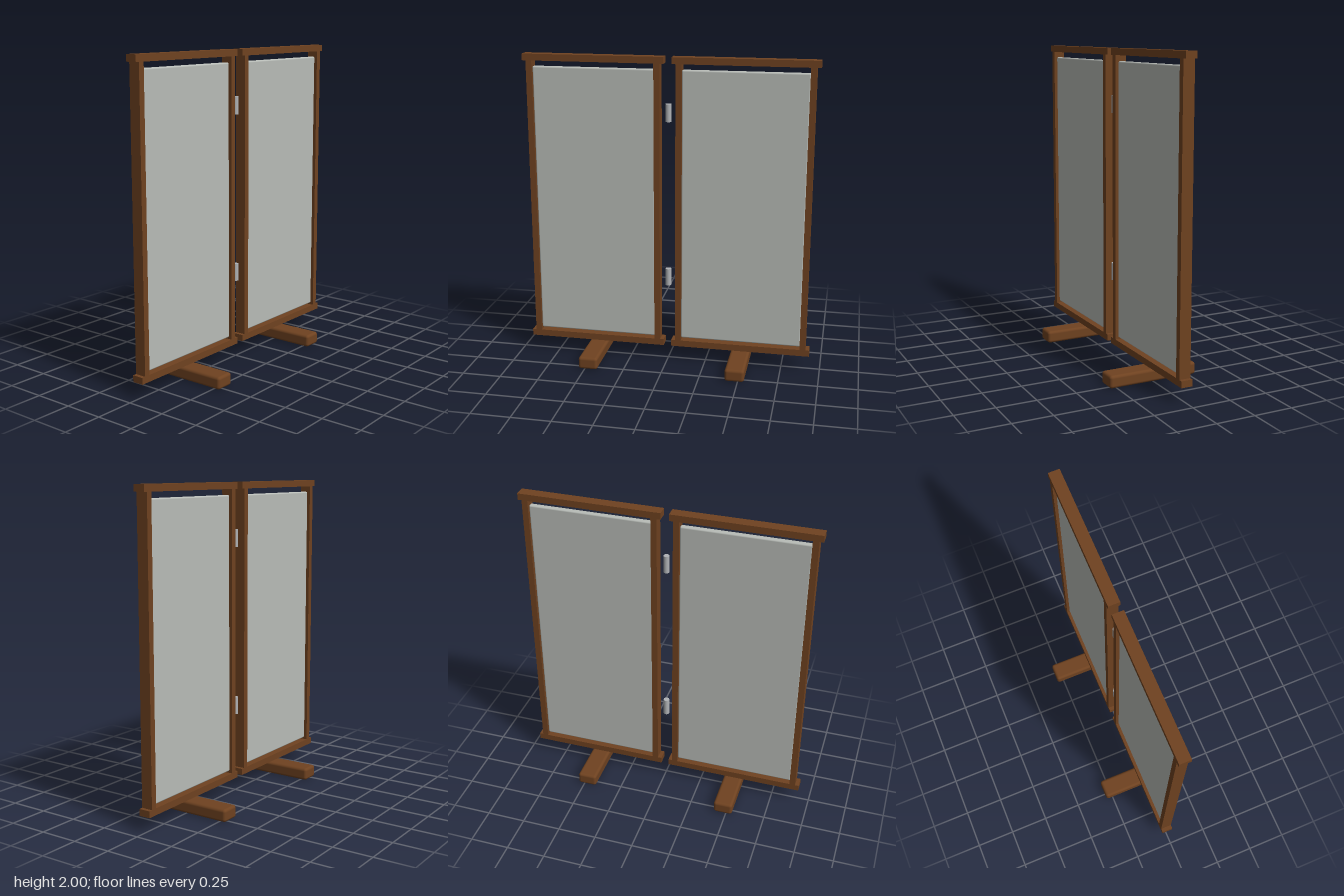
import * as THREE from 'three';
import { RoundedBoxGeometry } from 'three/addons/geometries/RoundedBoxGeometry.js';

function material(name, color) {
  const m = new THREE.MeshStandardMaterial({ color });
  m.name = name;
  return m;
}

export function createModel() {
  const wood = material('brown wood', 0x6f4220);
  const fabric = material('pale grey panel', 0xb8bcb7);
  const metal = material('hinge metal', 0xb0b3b6);
  const model = new THREE.Group();
  model.name = 'foldingScreen';

  const add = (parent, name, geometry, mat, x, y, z = 0) => {
    const mesh = new THREE.Mesh(geometry, mat);
    mesh.name = name;
    mesh.position.set(x, y, z);
    parent.add(mesh);
  };

  // Two identical framed panels, each standing on a cross foot
  for (const side of [-1, 1]) {
    const section = new THREE.Group();
    section.name = side > 0 ? 'leftSection' : 'rightSection';
    section.position.x = side * 0.478;
    model.add(section);

    add(section, 'topRail', new THREE.BoxGeometry(0.905, 0.042, 0.073), wood, 0, 1.979);
    add(section, 'bottomRail', new THREE.BoxGeometry(0.905, 0.042, 0.073), wood, 0, 0.119);
    for (const s of [-1, 1]) {
      add(section, 'stile', new THREE.BoxGeometry(0.038, 1.82, 0.073), wood, s * 0.409, 1.049);
    }
    add(section, 'panel', new RoundedBoxGeometry(0.785, 1.768, 0.036, 3, 0.01), fabric, 0, 1.037);
    add(section, 'foot', new RoundedBoxGeometry(0.125, 0.08, 0.59, 3, 0.018), wood, 0, 0.04);
  }

  // Hinge barrels between the panels
  for (const y of [0.571, 1.651]) {
    add(model, 'hinge', new THREE.CylinderGeometry(0.019, 0.019, 0.112, 16), metal, 0, y);
  }
  return model;
}
